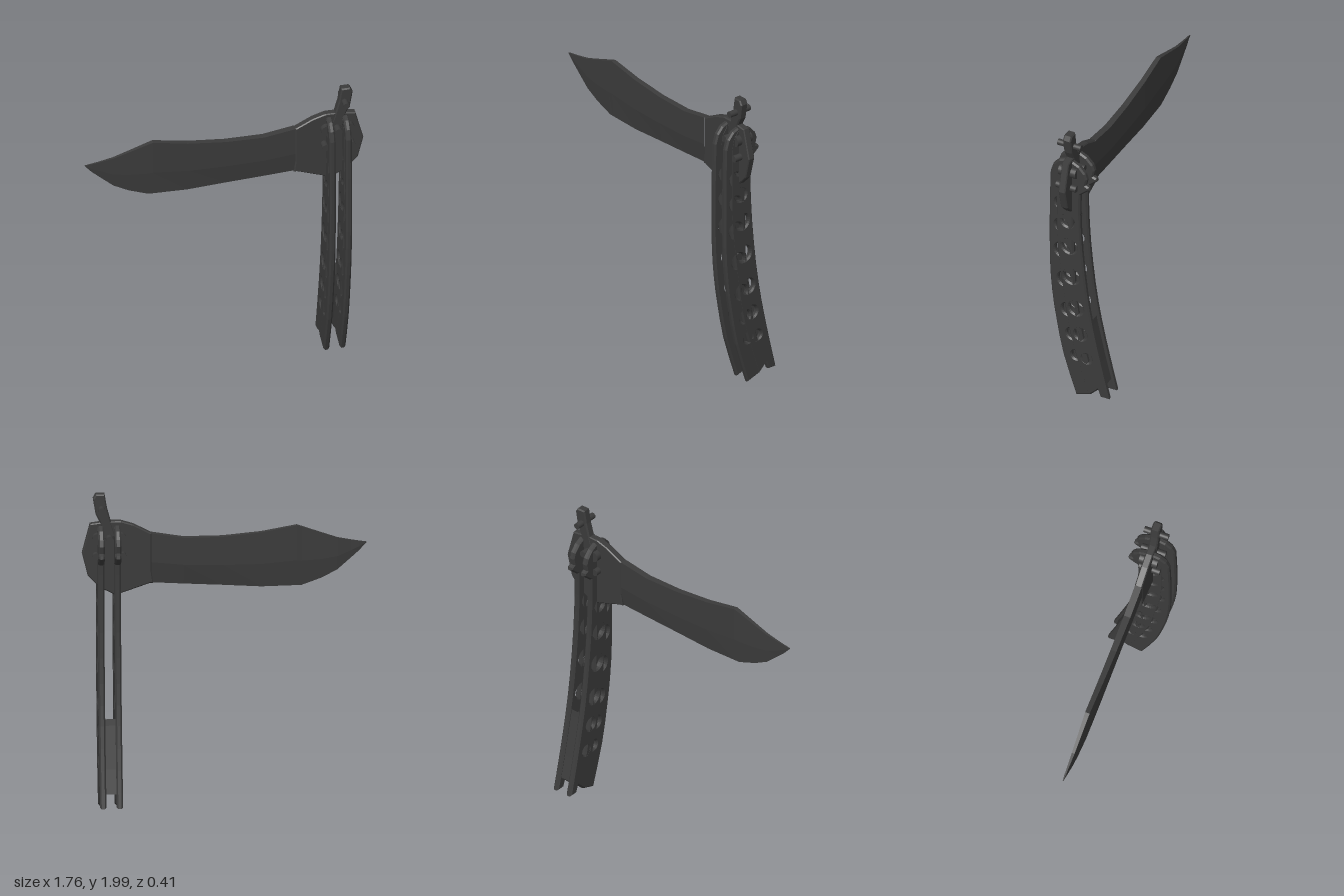
import * as THREE from 'three';

const BLADE_Z = 0.072;
const steel = new THREE.MeshStandardMaterial({ color: 0x3b3b3b });
steel.name = 'dark steel';

function add(parent, name, geometry) {
  const mesh = new THREE.Mesh(geometry, steel);
  mesh.name = name;
  parent.add(mesh);
  return mesh;
}

// Extrude a side profile given as [z, y] points across x0..x1
function sideExtrude(points, holes, x0, x1, bevel) {
  const shape = new THREE.Shape(points.map(([z, y]) => new THREE.Vector2(-z, y)));
  for (const [z, y, r] of holes) {
    const hole = new THREE.Path();
    hole.absarc(-z, y, r, 0, Math.PI * 2, true);
    shape.holes.push(hole);
  }
  const geo = new THREE.ExtrudeGeometry(shape, {
    depth: x1 - x0 - bevel * 2, curveSegments: 12, bevelEnabled: bevel > 0,
    bevelSize: bevel, bevelThickness: bevel, bevelOffset: -bevel, bevelSegments: 1,
  });
  return geo.translate(0, 0, x0 + bevel).rotateY(Math.PI / 2);
}

// Extrude a front profile given as [x, y] points, centred on the blade plane
function frontExtrude(points, thickness, bevel) {
  const shape = new THREE.Shape(points.map(([x, y]) => new THREE.Vector2(x, y)));
  const geo = new THREE.ExtrudeGeometry(shape, {
    depth: thickness - bevel * 2, bevelSize: bevel, bevelThickness: bevel,
    bevelOffset: -bevel, bevelSegments: 1,
  });
  return geo.translate(0, 0, BLADE_Z - thickness / 2 + bevel);
}

// Smooth edge through a few [z, y] points
function curve(points, n = 12) {
  const c = new THREE.SplineCurve(points.map(([z, y]) => new THREE.Vector2(z, y)));
  return c.getPoints(n).map((p) => [p.x, p.y]);
}

// Round pin along z
function pin(parent, name, x, y, r, z0, z1) {
  const geo = new THREE.CylinderGeometry(r, r, z1 - z0, 20).rotateX(Math.PI / 2);
  add(parent, name, geo).position.set(x, y, (z0 + z1) / 2);
}

// Blade: loft of six-point sections with a flat upper half and ground lower half
function bladeGeometry() {
  // x, spine y, edge y, half thickness
  const stations = [
    [-0.88, 1.66, 1.655, 0.003], [-0.835, 1.666, 1.605, 0.005], [-0.785, 1.674, 1.56, 0.006],
    [-0.70, 1.69, 1.485, 0.009], [-0.605, 1.722, 1.435, 0.011], [-0.48, 1.765, 1.39, 0.014],
    [-0.45, 1.775, 1.389, 0.015], [-0.23, 1.735, 1.385, 0.017], [0.01, 1.712, 1.40, 0.019],
    [0.25, 1.71, 1.413, 0.021], [0.45, 1.743, 1.425, 0.022],
  ];
  const pos = [];
  const idx = [];
  stations.forEach(([x, top, low, t], i) => {
    const mid = low + (top - low) * 0.42;
    const ring = [[top, t], [mid, t], [low, t * 0.2], [low, -t * 0.2], [mid, -t], [top, -t]];
    ring.forEach(([y, z]) => pos.push(x, y, BLADE_Z + z));
    if (i === 0) return;
    for (let k = 0; k < 6; k++) {
      const a = (i - 1) * 6 + k, b = (i - 1) * 6 + (k + 1) % 6;
      idx.push(a, b, b + 6, a, b + 6, a + 6);
    }
  });
  for (let k = 1; k < 5; k++) idx.push(0, k + 1, k);
  const g = new THREE.BufferGeometry();
  g.setAttribute('position', new THREE.Float32BufferAttribute(pos, 3));
  g.setIndex(idx);
  const flat = g.toNonIndexed();
  flat.computeVertexNormals();
  return flat;
}

export function createModel() {
  const model = new THREE.Group();
  model.name = 'foldingKnife';

  // Blade and its broad tang
  const blade = new THREE.Group();
  blade.name = 'blade';
  model.add(blade);
  add(blade, 'bladeBody', bladeGeometry());
  add(blade, 'tang', frontExtrude([
    [0.44, 1.425], [0.46, 1.425], [0.59, 1.38], [0.675, 1.352], [0.775, 1.405], [0.845, 1.48],
    [0.88, 1.62], [0.83, 1.81], [0.72, 1.825], [0.64, 1.825], [0.56, 1.80], [0.45, 1.743],
    [0.45, 1.50],
  ], 0.048, 0.006));

  // Rear handle: curved side plates with a row of round holes
  const rearBack = curve([[-0.205, 0.05], [-0.15, 0.28], [-0.092, 0.55], [-0.05, 0.81],
    [-0.017, 1.13], [-0.004, 1.4], [-0.006, 1.56]]);
  const rearFront = curve([[0.16, 1.66], [0.16, 1.45], [0.153, 1.13], [0.11, 0.76],
    [0.058, 0.44], [-0.058, 0.05]]);
  const rearOutline = [
    [-0.145, 0.05], ...rearBack, [-0.025, 1.575], [-0.07, 1.615], [-0.066, 1.635], [-0.044, 1.645],
    [-0.053, 1.69], [-0.04, 1.73], [0, 1.775], [0.06, 1.805], [0.11, 1.79], [0.145, 1.74],
    ...rearFront, [-0.075, 0.045], [-0.115, 0.085], [-0.128, 0.10],
  ];
  const rearHoles = [[0.09, 1.51, 0.032], [0.08, 1.333, 0.043], [0.069, 1.143, 0.051],
    [0.053, 0.915, 0.052], [0.021, 0.68, 0.048], [-0.01, 0.49, 0.041], [-0.053, 0.317, 0.033]];

  // Front handle: same plates, set forward and overlapping the rear pair
  const frontEdge = curve([[0.2, 1.68], [0.207, 1.4], [0.206, 1.0], [0.19, 0.76],
    [0.162, 0.56], [0.112, 0.3], [0.022, 0.012]]);
  const frontBack = curve([[-0.11, 0.085], [-0.045, 0.35], [0.01, 0.65], [0.035, 0.95],
    [0.042, 1.3], [0.04, 1.66]]);
  const frontOutline = [
    ...frontEdge, [-0.075, 0.045], ...frontBack, [0.05, 1.76], [0.07, 1.80],
    [0.10, 1.803], [0.14, 1.79], [0.18, 1.745],
  ];
  const frontHoles = [[0.125, 1.46, 0.04], [0.123, 1.29, 0.043], [0.118, 1.10, 0.05],
    [0.097, 0.88, 0.05], [0.074, 0.655, 0.046], [0.046, 0.476, 0.041], [0.02, 0.32, 0.033]];

  const handles = [
    ['rearHandle', rearOutline, rearHoles, 0],
    ['frontHandle', frontOutline, frontHoles, 0.001],
  ];
  for (const [name, outline, holes, inset] of handles) {
    const handle = new THREE.Group();
    handle.name = name;
    model.add(handle);
    add(handle, 'rightPlate', sideExtrude(outline, holes, 0.642 + inset, 0.682 - inset, 0.01));
    add(handle, 'leftPlate', sideExtrude(outline, holes, 0.745 + inset, 0.785 - inset, 0.01));
  }

  // Spacer joining the rear plates along the lower back edge
  add(model, 'spacer', sideExtrude([
    [-0.172, 0.135], [-0.135, 0.285], [-0.077, 0.55], [-0.07, 0.59],
    [-0.06, 0.51], [-0.085, 0.35], [-0.135, 0.14], [-0.15, 0.155],
  ], [], 0.675, 0.752, 0));

  // Pivots and stop pins on both sides of the tang
  for (const [side, x] of [['right', 0.642], ['left', 0.783]]) {
    pin(model, side + 'Pivot', x, 1.722, 0.035, 0.012, 0.13);
    pin(model, side + 'StopPin', x + (side === 'left' ? 0.012 : -0.012), 1.61, 0.022, 0.01, 0.148);
  }

  // Latch with its hinge pin and cross pin
  const latch = new THREE.Group();
  latch.name = 'latch';
  model.add(latch);
  add(latch, 'latchArm', frontExtrude([
    [0.74, 2.0], [0.725, 1.91], [0.70, 1.82], [0.675, 1.74], [0.685, 1.695], [0.715, 1.68],
    [0.748, 1.72], [0.77, 1.82], [0.795, 1.87], [0.812, 1.97], [0.795, 2.0],
  ], 0.055, 0.008));
  pin(latch, 'hingePin', 0.712, 1.72, 0.022, -0.005, 0.155);
  pin(latch, 'crossPin', 0.76, 1.907, 0.02, -0.005, 0.155);

  return model;
}
